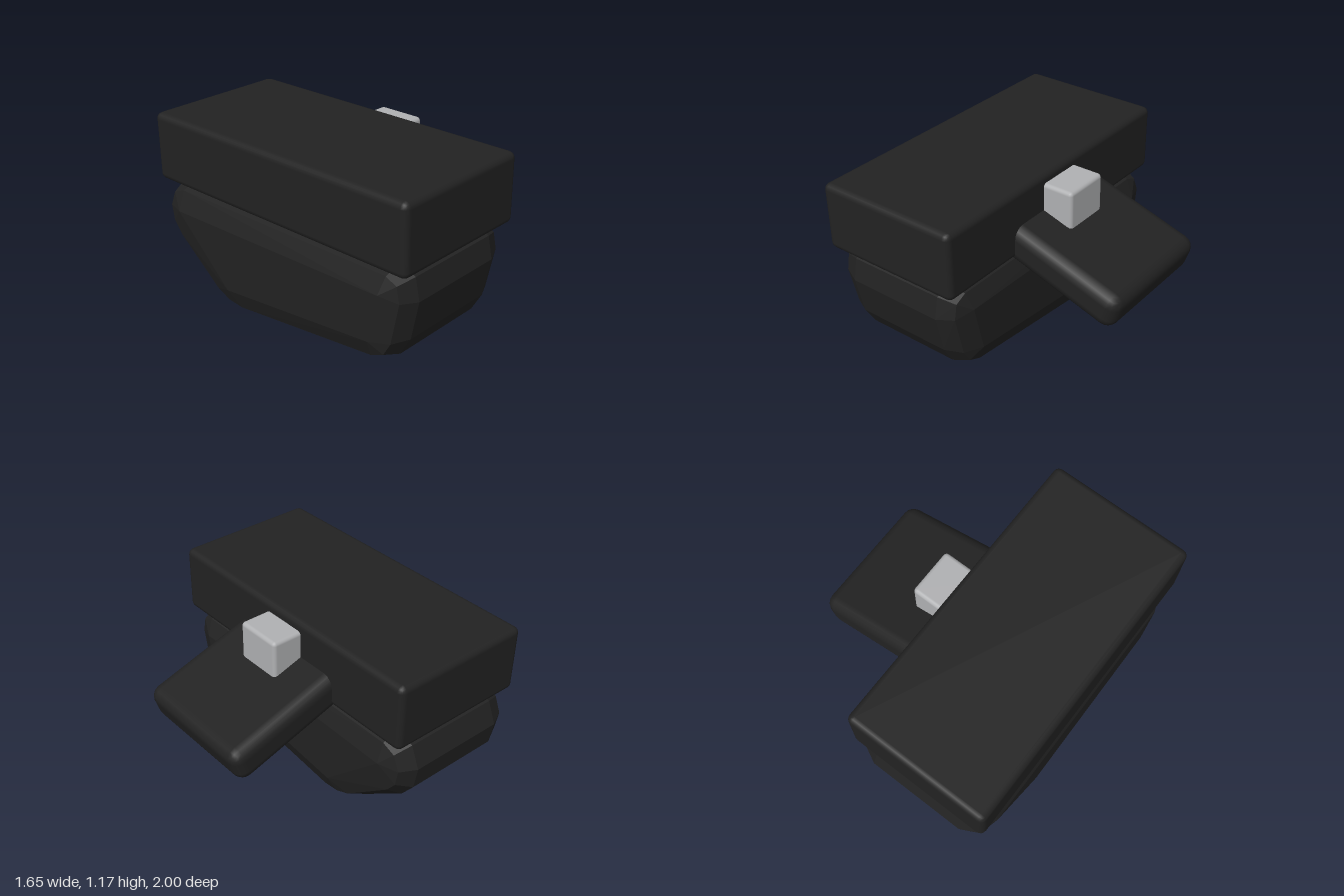
import * as THREE from 'three';
import { RoundedBoxGeometry } from 'three/addons/geometries/RoundedBoxGeometry.js';
import { ConvexGeometry } from 'three/addons/geometries/ConvexGeometry.js';

const black = new THREE.MeshStandardMaterial({ color: 0x222222 });
black.name = 'black';
const grey = new THREE.MeshStandardMaterial({ color: 0xb0b1b3 });
grey.name = 'light grey';

// Bevelled box given by its minimum and maximum corners
function bevelBox(name, min, max, radius, material) {
  const size = max.map((v, i) => v - min[i]);
  const mesh = new THREE.Mesh(new RoundedBoxGeometry(...size, 2, radius), material);
  mesh.position.set(...max.map((v, i) => (v + min[i]) / 2));
  mesh.name = name;
  return mesh;
}

// Keel-shaped lower body: side outline [z, y] rounding into a smaller flat cap on each side
function lowerBody() {
  const frontTop = [0.81, 0.59], frontLow = [0.74, 0.28];
  const backLow = [-0.4, 0.16], backTop = [-0.82, 0.56];
  const corners = [
    [frontTop, [[0.84, 0.74], [0.945, 0.69], [0.973, 0.55]]],
    [frontLow, [[0.92, 0.3], [0.85, 0.18], [0.73, 0.125]]],
    [backLow, [[-0.3, 0.003], [-0.46, 0.02], [-0.6, 0.08]]],
    [backTop, [[-0.89, 0.29], [-0.975, 0.4], [-1, 0.55], [-0.94, 0.69], [-0.815, 0.74]]],
  ];
  const centre = -0.35, flat = 0.32, bevel = 0.15;
  const points = [];
  for (const [cap, outline] of corners) {
    for (const p of outline) {
      for (const angle of [0, Math.PI / 4, Math.PI / 2]) {
        const t = Math.cos(angle);
        const x = flat + bevel * Math.sin(angle);
        const z = cap[0] + (p[0] - cap[0]) * t;
        const y = cap[1] + (p[1] - cap[1]) * t;
        for (const side of [-1, 1]) points.push(new THREE.Vector3(centre + side * x, y, z));
      }
    }
  }
  const mesh = new THREE.Mesh(new ConvexGeometry(points), black);
  mesh.name = 'lowerBody';
  return mesh;
}

export function createModel() {
  const model = new THREE.Group();
  model.name = 'model';

  // Main body
  model.add(bevelBox('upperBlock', [-0.823, 0.738, -0.98], [0.123, 1.17, 1], 0.04, black));
  model.add(lowerBody());

  // Sloping side plate, running into the upper block
  const sidePlate = new THREE.Group();
  sidePlate.name = 'sidePlate';
  sidePlate.add(bevelBox('plate', [-0.42, 0.697, -0.428], [0.592, 0.929, 0.438], 0.075, black));
  sidePlate.rotation.z = -0.305;
  model.add(sidePlate);

  // Button standing on the plate
  model.add(bevelBox('button', [0, 0.78, -0.147], [0.32, 1.11, 0.165], 0.025, grey));

  return model;
}
